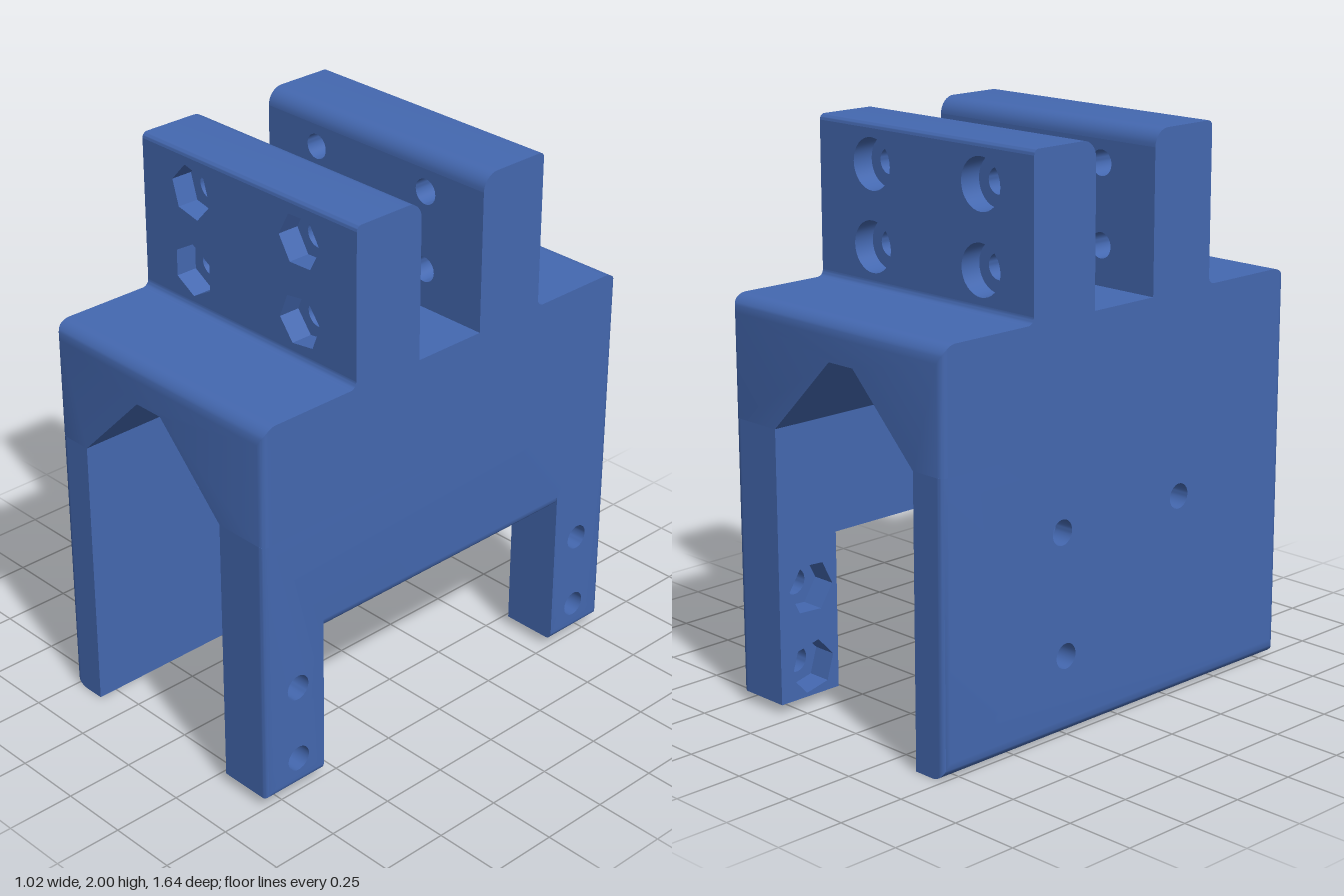
import * as THREE from 'three';
import { toCreasedNormals } from 'three/addons/utils/BufferGeometryUtils.js';

const material = new THREE.MeshStandardMaterial({ color: 0x4468b0 });
const HALF_X = 0.51, HALF_Z = 0.82, TOP = 1.44;

const outline = (pts) => new THREE.Shape(pts.map(([x, y]) => new THREE.Vector2(x, y)));
const rect = (x0, y0, x1, y1) => outline([[x0, y0], [x1, y0], [x1, y1], [x0, y1]]);

// n-sided hole: 6 for nut pockets, 32 for round bores
function hole(x, y, r, n = 32, turn = 0) {
  const pts = [];
  for (let i = 0; i < n; i++) {
    const a = turn + (i / n) * Math.PI * 2;
    pts.push(new THREE.Vector2(x + r * Math.cos(a), y + r * Math.sin(a)));
  }
  return new THREE.Path(pts);
}

function arc(cx, cy, r, a0, a1, n = 8) {
  return Array.from({ length: n + 1 }, (_, i) => {
    const a = a0 + ((a1 - a0) * i) / n;
    return [cx + r * Math.cos(a), cy + r * Math.sin(a)];
  });
}

// how far a rounded edge of radius r is drawn in at depth d from the face
const inset = (d, r) => (d < r ? r - Math.sqrt(r * r - (r - d) ** 2) : 0);

// extrude along z, or along x when the shape is drawn in (-z, y)
function slab(name, shape, holes, axis, from, to, steps = 1, rule = null) {
  shape.holes.push(...holes);
  const geo = new THREE.ExtrudeGeometry(shape, { depth: to - from, steps, bevelEnabled: false });
  geo.translate(0, 0, from);
  if (axis === 'x') geo.rotateY(Math.PI / 2);
  if (rule) {
    const p = geo.attributes.position, v = new THREE.Vector3();
    for (let i = 0; i < p.count; i++) {
      rule(v.fromBufferAttribute(p, i));
      p.setXYZ(i, v.x, v.y, v.z);
    }
  }
  const mesh = new THREE.Mesh(toCreasedNormals(geo, 0.6), material);
  mesh.name = name;
  return mesh;
}

// rounds the outer edges of the side walls
function roundWall(v) {
  const d = Math.max(0, HALF_X - Math.abs(v.x));
  if (Math.abs(v.z) > HALF_Z - 0.001) v.z -= Math.sign(v.z) * inset(d, 0.025);
  if (v.y < 0.001) v.y += inset(d, 0.06);
  else if (Math.abs(v.y - 0.035) < 0.001) v.y += inset(d, 0.025);
  else if (Math.abs(v.y - 0.6) < 0.001) v.y += inset(d, 0.04);
}

// rounds the front and back edges of the upper block
function roundBlock(v) {
  const d = Math.max(0, HALF_Z - Math.abs(v.z));
  if (Math.abs(v.x) > HALF_X - 0.001) v.x -= Math.sign(v.x) * inset(d, 0.025);
  if (v.y > TOP - 0.001) v.y -= inset(d, 0.06);
}

export function createModel() {
  const model = new THREE.Group();
  model.name = 'clampBracket';
  const add = (...args) => model.add(slab(...args));

  // upper block with the arched channel underneath
  const arch = () => outline([
    [-HALF_X, 1.015], [-0.375, 1.015], [-0.095, 1.295], [0.02, 1.295],
    [0.30, 1.015], [HALF_X, 1.015], [HALF_X, TOP], [-HALF_X, TOP],
  ]);
  add('upperBlock', arch(), [], 'z', -0.76, 0.76);
  add('upperBlockFront', arch(), [], 'z', 0.76, HALF_Z, 12, roundBlock);
  add('upperBlockBack', arch(), [], 'z', -HALF_Z, -0.76, 12, roundBlock);

  // solid wall: bores outside, nut pockets inside
  const solid = () => rect(-HALF_Z, 0, HALF_Z, 1.015);
  const wallHoles = (r, n) => [
    hole(0.265, 0.285, 0.045), hole(-0.285, 0.72, r, n, 0.4), hole(0.285, 0.72, r, n, 0.2),
  ];
  add('solidWallOuter', solid(), wallHoles(0.045, 32), 'x', -HALF_X, -0.435, 15, roundWall);
  add('solidWallInner', solid(), wallHoles(0.095, 6), 'x', -0.435, -0.375);

  // wall cut away into two legs
  const legged = () => outline([
    [-HALF_Z, 0.035], [-0.565, 0.035], [-0.565, 0.6], [0.565, 0.6],
    [0.565, 0.035], [HALF_Z, 0.035], [HALF_Z, 1.015], [-HALF_Z, 1.015],
  ]);
  const legHoles = (r, n) => [-0.68, 0.68].flatMap((u) =>
    [0.14, 0.425].map((y) => hole(u, y, r, n, u + y)));
  add('leggedWallOuter', legged(), legHoles(0.046, 32), 'x', 0.39, HALF_X, 24, roundWall);
  add('leggedWallInner', legged(), legHoles(0.095, 6), 'x', 0.30, 0.39);

  // two upright jaws: nut pockets on the front one, counterbores on the back one
  const bolts = [[-0.27, 1.86, -0.22], [0.25, 1.86, 0.03], [-0.27, 1.58, 0.52], [0.25, 1.58, 0.14]];
  for (const s of [1, -1]) {
    const side = s > 0 ? 'front' : 'back';
    const span = (a, b) => (s > 0 ? [a, b] : [-b, -a]);
    const bores = bolts.map(([x, y]) => hole(x, y, 0.045));
    const pockets = bolts.map(([x, y, t]) => (s > 0 ? hole(x, y, 0.095, 6, t) : hole(x, y, 0.09)));
    add(side + 'JawInner', rect(-HALF_X, TOP, HALF_X, 1.94), bores, 'z', ...span(0.14, 0.34));
    add(side + 'JawOuter', rect(-HALF_X, TOP, HALF_X, 1.98), pockets, 'z', ...span(0.34, 0.42));

    // rounded top of the jaw and the small fillet at its foot
    const across = (pts) => outline(pts.map(([z, y]) => [-s * z, y]));
    add(side + 'JawTop', across([
      ...arc(0.40, 1.98, 0.02, 0, Math.PI / 2),
      ...arc(0.20, 1.94, 0.06, Math.PI / 2, Math.PI),
      [0.34, 1.94], [0.34, 1.98],
    ]), [], 'x', -HALF_X, HALF_X);
    add(side + 'JawFillet', across([
      [0.42, TOP], ...arc(0.445, TOP + 0.025, 0.025, -Math.PI / 2, -Math.PI),
    ]), [], 'x', -HALF_X, HALF_X);
  }
  return model;
}
